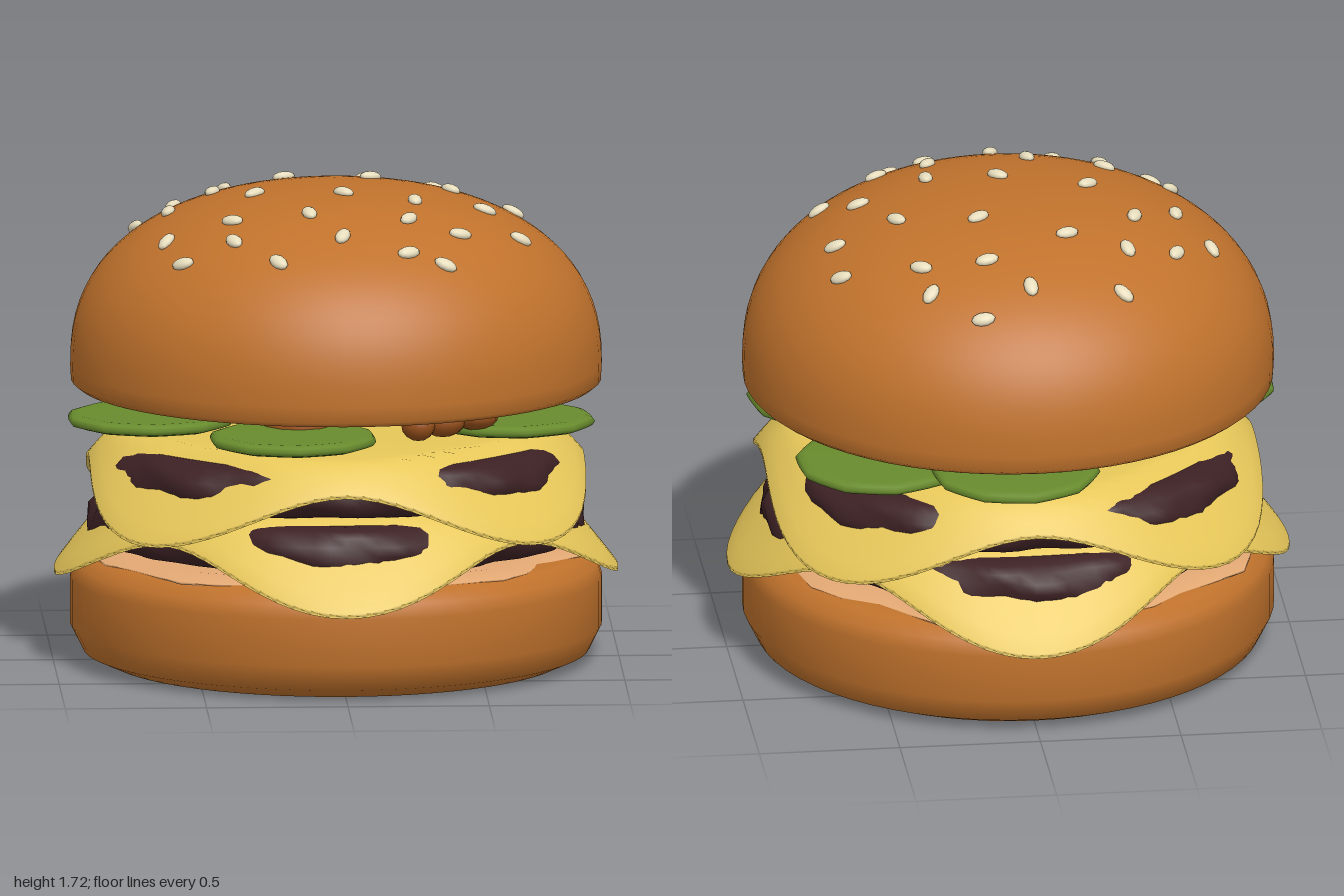
import * as THREE from 'three';
import { mergeVertices } from 'three/addons/utils/BufferGeometryUtils.js';

const mat = (name, color) => {
  const m = new THREE.MeshStandardMaterial({ color });
  m.name = name;
  return m;
};

export function createModel() {
  const group = new THREE.Group();
  const bunMat = mat('toasted bun', 0xc0722c);
  const cheeseMat = mat('cheese yellow', 0xe8c85a);
  const pattyMat = mat('grilled meat', 0x3d2124);
  const pickleMat = mat('pickle green', 0x688b2d);
  const seedMat = mat('sesame cream', 0xe6dcbc);
  const onionMat = mat('onion tan', 0xe2a873);
  const friedMat = mat('fried brown', 0x964f1b);

  const add = (name, geometry, material, parent = group) => {
    const mesh = new THREE.Mesh(geometry, material);
    mesh.name = name;
    parent.add(mesh);
    return mesh;
  };
  const subgroup = (name) => {
    const g = new THREE.Group();
    g.name = name;
    group.add(g);
    return g;
  };
  const lathe = (pts, sides) =>
    new THREE.LatheGeometry(pts.map(([r, y]) => new THREE.Vector2(r, y)), sides);

  // Lathe whose rings are moved by rule(radius, y, angle) -> [radius, y]
  const wavyLathe = (pts, sides, rule) => {
    const geo = lathe(pts, sides);
    const p = geo.attributes.position;
    for (let i = 0; i < p.count; i++) {
      const x = p.getX(i), z = p.getZ(i), a = Math.atan2(x, z);
      const [r, y] = rule(Math.hypot(x, z), p.getY(i), a);
      p.setXYZ(i, r * Math.sin(a), y, r * Math.cos(a));
    }
    geo.deleteAttribute('uv');
    geo.deleteAttribute('normal');
    const merged = mergeVertices(geo, 1e-5);
    merged.computeVertexNormals();
    return merged;
  };

  // Buns; the dome is a slightly squared ellipse
  add('bottomBun', lathe([[0, 0], [0.66, 0], [0.81, 0.002], [0.895, 0.04], [0.94, 0.13], [0.94, 0.3],
    [0.925, 0.35], [0.88, 0.39], [0.8, 0.4], [0, 0.4]], 64), bunMat);
  const domeY = 1.06, domeH = 0.635, domeR = 0.94, power = 2.35;
  const domeRise = (r) => Math.pow(1 - Math.pow(r / domeR, power), 1 / power);
  const dome = [[0, 0.985], [0.86, 0.985], [0.915, 0.988], [0.937, 1.005]];
  for (let i = 0; i <= 24; i++) {
    const r = domeR * Math.cos((i / 24) * Math.PI / 2);
    dome.push(i === 24 ? [0, domeY + domeH] : [r, domeY + domeH * domeRise(r)]);
  }
  add('topBun', lathe(dome, 64), bunMat);

  // Ragged onion slice on the bottom bun
  add('onionLayer', wavyLathe([[0, 0.4], [0.78, 0.4], [0.86, 0.388], [0.86, 0.397], [0.78, 0.42], [0, 0.42]], 36,
    (r, y, a) => [r * (1 + 0.04 * Math.sin(9 * a + 1) + 0.03 * Math.sin(5 * a)), y]), onionMat);

  // Patty and draped cheese; "turn" is the direction of the cheese corners
  const pattyProfile = [[0, 0], [0.76, 0], [0.84, 0.015], [0.87, 0.05], [0.878, 0.09], [0.868, 0.125],
    [0.847, 0.155], [0.815, 0.175], [0.775, 0.185], [0, 0.185]];
  const corner = (a, turn) => 0.5 + 0.5 * Math.cos(4 * (a - turn));
  const cheeseProfile = [];
  const steps = 24;
  for (let i = 0; i <= steps; i++) cheeseProfile.push([i / steps, 0]);
  for (let i = steps; i >= 0; i--) cheeseProfile.push([i / steps, 1]);

  const layer = (name, y0, cheeseY, turn) => {
    add(name + 'Patty', wavyLathe(pattyProfile, 96, (r, y, a) => {
      const w = Math.pow(corner(a, turn), 0.7);
      const lumps = 0.009 * Math.sin(13 * a + 40 * y) + 0.008 * Math.sin(23 * a - 25 * y + turn);
      return [r * (0.92 + 0.08 * w + lumps), y0 + y];
    }), pattyMat);
    add(name + 'Cheese', wavyLathe(cheeseProfile, 96, (t, side, a) => {
      const w = corner(a, turn);
      const start = 0.88 - 0.18 * w;
      const s = Math.max(0, (t - start) / (1 - start));
      const drop = (0.08 + 0.225 * w) * Math.pow(s, 1.3) + 0.03 * (1 - w) * Math.pow(t, 6);
      return [t * (0.875 + 0.123 * w), cheeseY - drop - (side ? 0 : 0.016)];
    }), cheeseMat);
  };
  layer('lower', 0.42, 0.635, 0);
  layer('upper', 0.625, 0.848, Math.PI / 4);

  // Pickle slices with a wobbly rim
  const pickles = subgroup('pickles');
  const pickleGeo = wavyLathe([[0, 0], [0.26, 0], [0.285, 0.008], [0.295, 0.022], [0.285, 0.036],
    [0.26, 0.044], [0, 0.04]], 30, (r, y, a) => [r * (1 + 0.02 * Math.cos(10 * a)), y]);
  [[-0.66, 0.861, 0.1], [-0.18, 0.88, 0.655], [0.51, 0.858, -0.47], [0.05, 0.88, -0.66], [0.61, 0.856, 0.16]]
    .forEach(([x, y, z], i) => {
      const m = add('pickle', pickleGeo, pickleMat, pickles);
      m.position.set(x, y, z);
      m.rotation.y = i * 1.3;
    });

  // Fried pieces between the pickles: x, z, half length, half depth
  const fried = subgroup('friedPieces');
  const friedGeo = new THREE.SphereGeometry(1, 12, 8);
  [[-0.15, 0.45, 0.14, 0.14], [-0.12, 0.1, 0.16, 0.18], [0.05, 0.3, 0.1, 0.12], [0.36, 0.42, 0.08, 0.07],
    [0.48, 0.36, 0.08, 0.1], [0.62, 0.0, 0.08, 0.2], [0.27, 0.5, 0.06, 0.06], [0.4, -0.3, 0.1, 0.08],
    [0.3, -0.45, 0.09, 0.13], [-0.1, -0.3, 0.15, 0.12], [0.2, 0.0, 0.15, 0.15]]
    .forEach(([x, z, l, d], i) => {
      const m = add('friedPiece', friedGeo, friedMat, fried);
      m.scale.set(l, 0.054, d);
      m.position.set(x, 0.918 + 0.012 * (i % 3), z);
    });

  // Sesame seeds, lying on the dome
  const seeds = subgroup('sesameSeeds');
  const seedGeo = new THREE.SphereGeometry(1, 10, 8).scale(0.043, 0.019, 0.026);
  const up = new THREE.Vector3(0, 1, 0);
  [[0.17, -0.72], [-0.34, -0.61], [-0.01, -0.62], [0.34, -0.58], [0.13, -0.48], [0.36, -0.45], [-0.38, -0.39],
    [-0.56, -0.33], [-0.17, -0.34], [0.63, -0.33], [-0.7, -0.19], [-0.43, -0.16], [0.13, -0.21], [0.63, -0.14],
    [0.41, -0.12], [-0.59, -0.04], [-0.29, 0.07], [0.52, 0.11], [0.02, 0.15], [0.27, 0.2], [-0.61, 0.3],
    [0.64, 0.26], [-0.38, 0.34], [-0.11, 0.38], [0.24, 0.4], [0.42, 0.43], [-0.56, 0.49], [-0.38, 0.49],
    [0, 0.56], [0.23, 0.62], [0.36, 0.63], [-0.23, 0.66]]
    .forEach(([x, z], i) => {
      const r = Math.hypot(x, z), h = domeRise(r);
      const slope = (domeH / domeR) * Math.pow(r / domeR / h, power - 1);
      const n = new THREE.Vector3((slope * x) / r, 1, (slope * z) / r).normalize();
      const m = add('sesameSeed', seedGeo, seedMat, seeds);
      m.position.set(x, domeY + domeH * h, z).addScaledVector(n, 0.005);
      m.quaternion.setFromUnitVectors(up, n);
      m.rotateY(i * 2.4);
    });

  return group;
}
